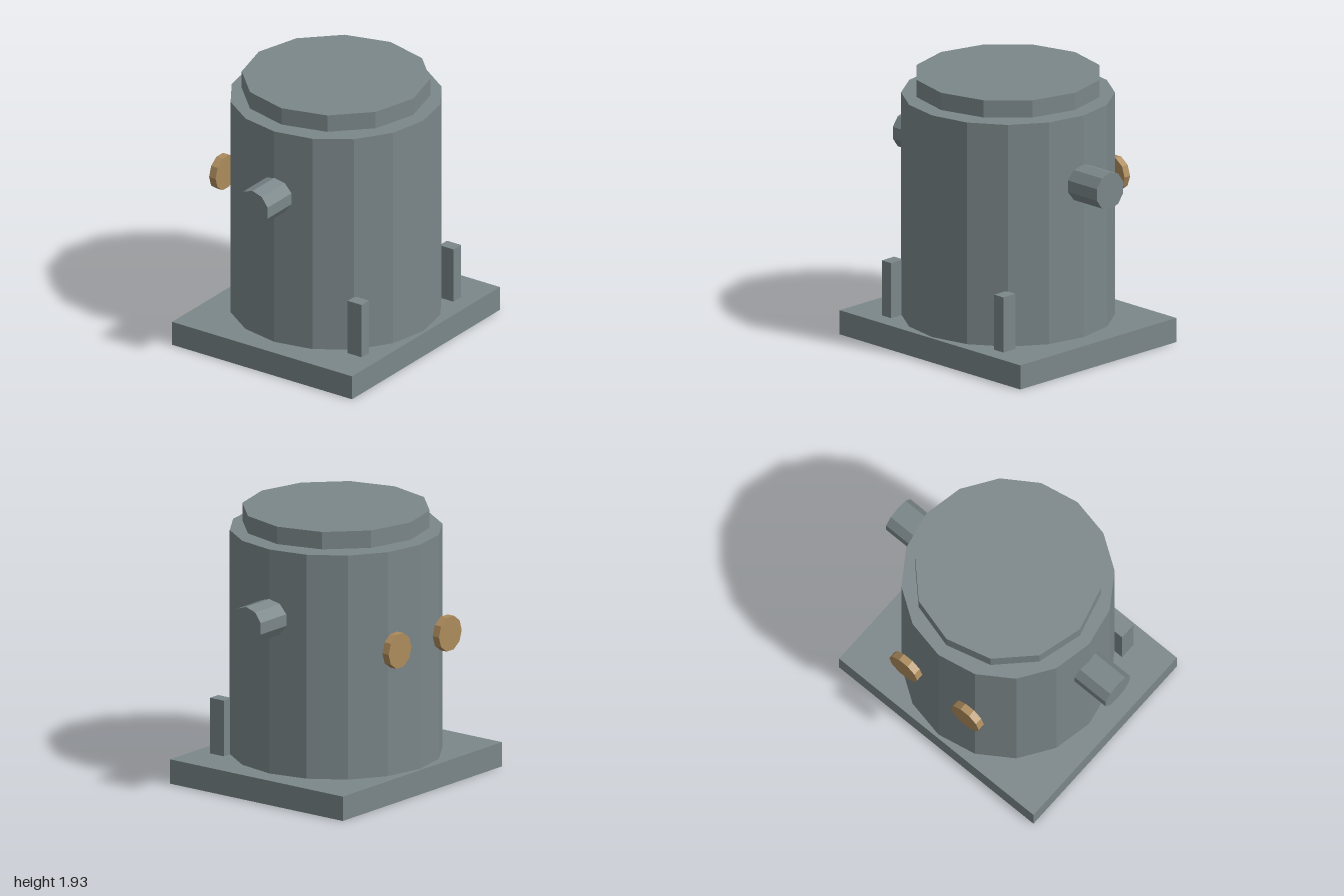
import * as THREE from 'three';

export function createModel() {
  const model = new THREE.Group();
  const grey = new THREE.MeshStandardMaterial({ color: 0x7b878a, flatShading: true });
  grey.name = 'slate grey';
  const tan = new THREE.MeshStandardMaterial({ color: 0xac8b5c, flatShading: true });
  tan.name = 'tan brass';

  const cz = 0.008; // shared axis of the tank, lid and pipes

  function add(name, geometry, material, x, y, z) {
    const mesh = new THREE.Mesh(geometry, material);
    mesh.name = name;
    mesh.position.set(x, y, z);
    model.add(mesh);
    return mesh;
  }
  const drum = (r, h, sides) => new THREE.CylinderGeometry(r, r, h, sides);

  // Base slab, tank body and the lid hovering just above it
  add('base', new THREE.BoxGeometry(1.77, 0.175, 1.525), grey, 0, 0.0875, cz);
  add('tankBody', drum(0.74, 1.615, 16), grey, 0, 0.9775, cz);
  add('lid', drum(0.655, 0.125, 12), grey, 0, 1.868, cz);

  for (const [side, s] of [['left', 1], ['right', -1]]) {
    // Side pipe, with a corner of its ten sides pointing up
    const pipe = drum(0.135, 0.4, 10).rotateY(Math.PI / 2).rotateZ(-Math.PI / 2);
    add(side + 'Pipe', pipe, grey, s * 0.8, 1.295, cz);

    // Front post standing on the base
    add(side + 'Post', new THREE.BoxGeometry(0.09, 0.42, 0.12), grey, s * 0.55, 0.365, 0.587);

    // Round knob on the back, with a corner pointing sideways
    const knob = drum(0.127, 0.055, 10).rotateY(Math.PI / 2).rotateX(Math.PI / 2);
    add(side + 'BackKnob', knob, tan, s * 0.28, 1.093, -0.752);
  }
  return model;
}
